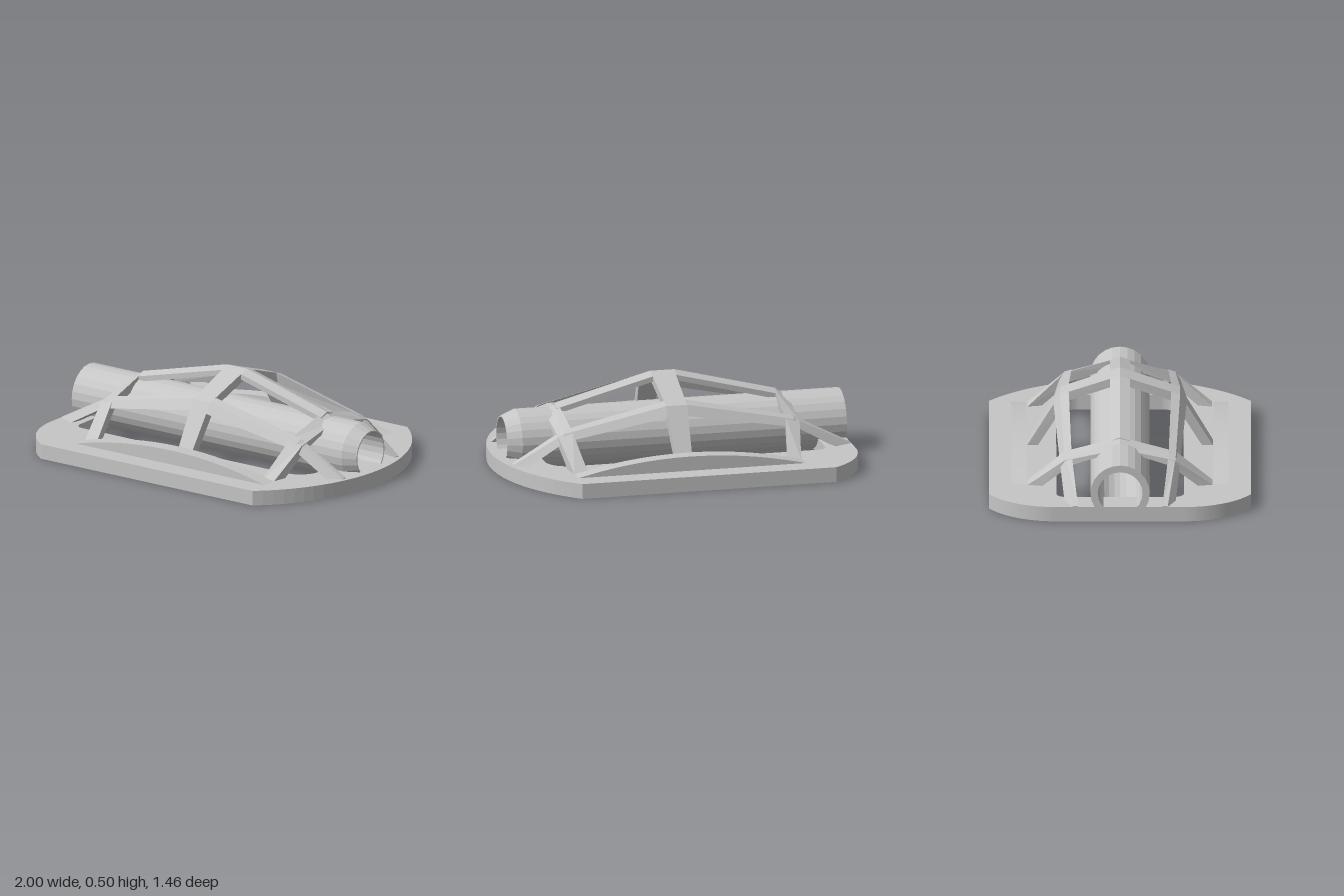
import * as THREE from 'three';

const grey = new THREE.MeshStandardMaterial({ color: 0xc6c6c6, flatShading: true });
grey.name = 'plain grey';

// Closed solid through equal-sized cross-sections, faces turned outward
function loft(sections) {
  const n = sections[0].length, tris = [];
  for (let s = 0; s < sections.length - 1; s++) {
    const a = sections[s], b = sections[s + 1];
    for (let i = 0; i < n; i++) {
      const j = (i + 1) % n;
      tris.push([a[i], a[j], b[j]], [a[i], b[j], b[i]]);
    }
  }
  const first = sections[0], last = sections[sections.length - 1];
  for (let i = 1; i < n - 1; i++) {
    tris.push([first[0], first[i + 1], first[i]], [last[0], last[i], last[i + 1]]);
  }
  let volume = 0;
  for (const [a, b, c] of tris) volume += a.dot(b.clone().cross(c));
  const pts = tris.flatMap(([a, b, c]) => (volume < 0 ? [a, c, b] : [a, b, c]));
  const g = new THREE.BufferGeometry().setFromPoints(pts);
  g.computeVertexNormals();
  return g;
}

const v = (x, y, z) => new THREE.Vector3(x, y, z);

export function createModel() {
  const model = new THREE.Group();
  const add = (name, geometry) => {
    const mesh = new THREE.Mesh(geometry, grey);
    mesh.name = name;
    model.add(mesh);
  };

  // Base plate: broad arc at one end, rounded corners at the other
  const plate = new THREE.Shape();
  const end = Math.atan2(0.73, 0.614), corner = Math.asin(0.37 / 0.44);
  plate.moveTo(-0.8, -0.73);
  plate.lineTo(0.66, -0.73);
  plate.absarc(0.046, 0, 0.954, -end, end, false);
  plate.lineTo(-0.8, 0.73);
  plate.absarc(-0.56, 0.36, 0.44, Math.PI - corner, Math.PI, false);
  plate.absarc(-0.56, -0.36, 0.44, Math.PI, Math.PI + corner, false);
  // Window under the tube, rounder at the broad end
  const hole = new THREE.Path();
  const r = 0.05, big = 0.13, x0 = -0.84, x1 = 0.75, w = 0.355;
  hole.absarc(x1 - big, w - big, big, Math.PI / 2, 0, true);
  hole.absarc(x1 - big, -w + big, big, 0, -Math.PI / 2, true);
  hole.absarc(x0 + r, -w + r, r, -Math.PI / 2, -Math.PI, true);
  hole.absarc(x0 + r, w - r, r, Math.PI, Math.PI / 2, true);
  hole.closePath();
  plate.holes.push(hole);
  const plateGeo = new THREE.ExtrudeGeometry(plate, { depth: 0.085, bevelEnabled: false, curveSegments: 14 });
  plateGeo.rotateX(-Math.PI / 2);
  add('basePlate', plateGeo);

  // Hollow tube with a tapered end
  const profile = [[0.125, -1], [0.165, -1], [0.165, 0.86], [0.132, 0.94], [0.125, 0.94], [0.125, -1]];
  const tube = new THREE.LatheGeometry(profile.map(p => new THREE.Vector2(...p)), 24);
  tube.rotateZ(-Math.PI / 2);
  tube.translate(0, 0.167, 0);
  add('tube', tube);

  // Low arched rails along both edges
  const rail = new THREE.Shape();
  const reach = 0.65, rise = 0.082;
  const R = (reach ** 2 + rise ** 2) / (2 * rise), half = Math.asin(reach / R);
  rail.moveTo(-reach, 0.085);
  rail.lineTo(reach, 0.085);
  rail.absarc(0, 0.085 + rise - R, R, Math.PI / 2 - half, Math.PI / 2 + half, false);
  for (const z of [0.52, -0.605]) {
    const g = new THREE.ExtrudeGeometry(rail, { depth: 0.085, bevelEnabled: false, curveSegments: 14 });
    g.translate(0, 0, z);
    add(z > 0 ? 'frontRail' : 'backRail', g);
  }

  // Cross ribs: each row is outer z, outer y, inner z, inner y,
  // outer x, inner x, half width, drop of the edge facing the model's end
  const rib = (name, side, rows) => {
    const section = ([oz, oy, iz, iy, ox, ix, h, drop], s) => [
      v(side * (ox - h), oy, s * oz), v(side * (ox + h), oy - drop, s * oz),
      v(side * (ix + h), iy, s * iz), v(side * (ix - h), iy, s * iz)];
    add(name, loft([
      ...rows.map(p => section(p, 1)),
      ...rows.slice(0, 2).reverse().map(p => section(p, -1))]));
  };
  rib('middleRib', 1, [
    [0.52, 0.08, 0.46, 0.08, 0.015, 0.015, 0.045, 0],
    [0.335, 0.39, 0.295, 0.35, 0.02, 0.02, 0.06, 0],
    [0, 0.505, 0, 0.455, 0.02, 0.02, 0.068, 0]]);
  for (const side of [-1, 1]) {
    rib(side > 0 ? 'leftRib' : 'rightRib', side, [
      [0.52, 0.08, 0.44, 0.08, 0.61, 0.627, 0.04, 0],
      [0.31, 0.27, 0.28, 0.215, 0.652, 0.657, 0.04, 0.025],
      [0, 0.358, 0, 0.31, 0.66, 0.66, 0.04, 0.043]]);
  }

  // Ridge beam with a shallow roof on top
  const ridge = [[-0.63, 0.358], [-0.05, 0.505], [0.09, 0.505], [0.64, 0.356]];
  add('ridgeBeam', loft(ridge.map(([x, y]) => [
    v(x, y, 0), v(x, y - 0.019, 0.055), v(x, y - 0.05, 0.055),
    v(x, y - 0.05, -0.055), v(x, y - 0.019, -0.055)])));

  // Side stringers, following the bend of the ribs: cross-sections as z, y pairs
  const tip = [[0.235, 0.09], [0.265, 0.088], [0.3, 0.03], [0.24, 0.02]];
  const shoulder = [[0.27, 0.272], [0.31, 0.26], [0.335, 0.22], [0.28, 0.21]];
  const middle = [[0.285, 0.407], [0.335, 0.39], [0.37, 0.333], [0.305, 0.335]];
  const stations = [[-0.995, tip], [-0.66, shoulder], [-0.04, middle], [0.08, middle], [0.66, shoulder], [0.94, tip]];
  for (const s of [1, -1]) {
    add(s > 0 ? 'frontStringer' : 'backStringer',
      loft(stations.map(([x, pts]) => pts.map(([z, y]) => v(x, y, s * z)))));
  }
  return model;
}
